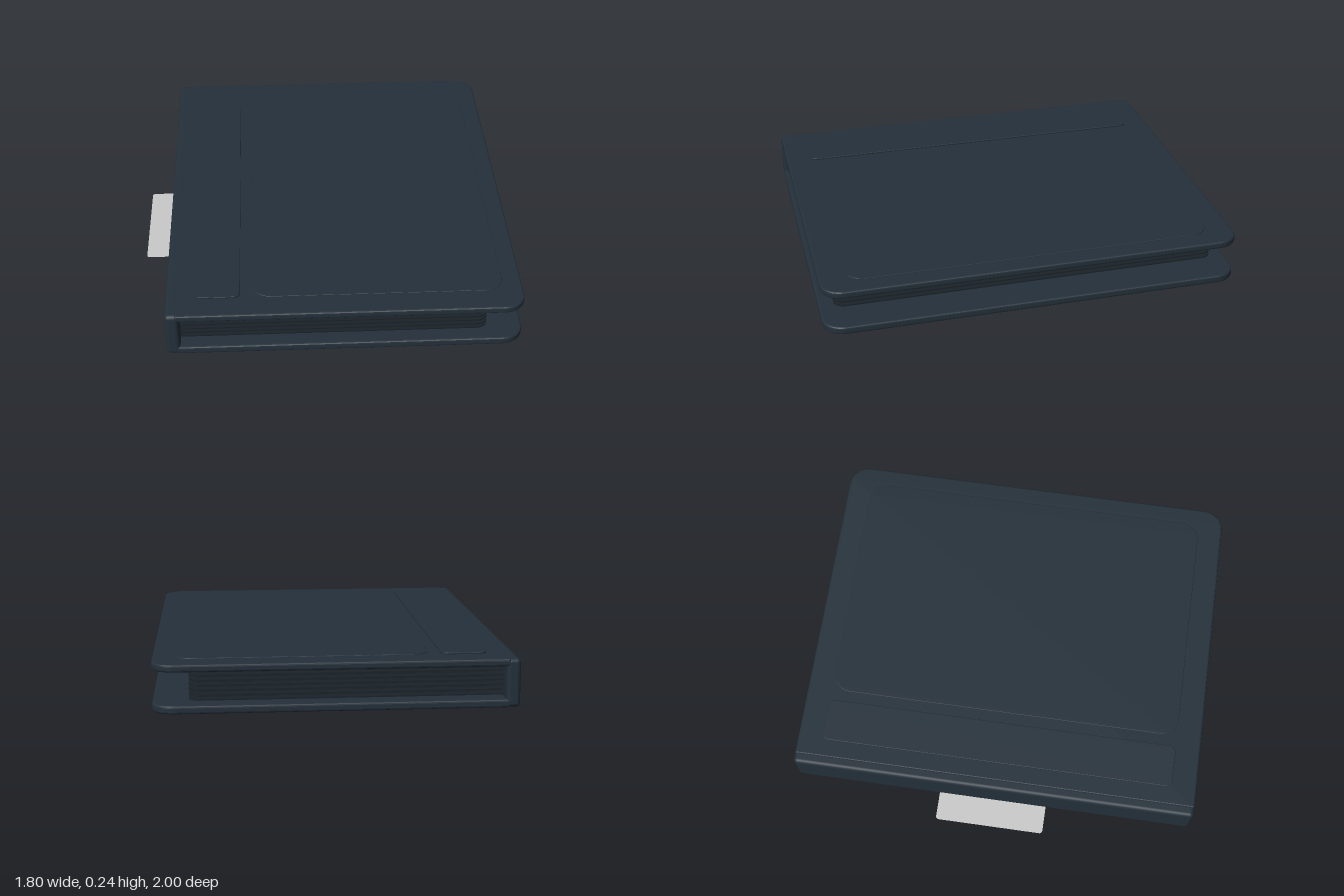
import * as THREE from 'three';
import { RoundedBoxGeometry } from 'three/addons/geometries/RoundedBoxGeometry.js';

const cover = new THREE.MeshStandardMaterial({ color: 0x24303a });
cover.name = 'slateCover';
const sheet = new THREE.MeshStandardMaterial({ color: 0x1a2228 });
sheet.name = 'darkSheet';
const clear = new THREE.MeshStandardMaterial({ color: 0xcacaca, side: THREE.DoubleSide });
clear.name = 'paleTab';

// Rectangle in x and z, with separate corner radii at the -x and +x ends
function outline(x0, x1, z, rl, rr) {
  const s = new THREE.Shape();
  s.moveTo(x0 + rl, -z);
  s.lineTo(x1 - rr, -z);
  s.absarc(x1 - rr, -z + rr, rr, -Math.PI / 2, 0, false);
  s.lineTo(x1, z - rr);
  s.absarc(x1 - rr, z - rr, rr, 0, Math.PI / 2, false);
  s.lineTo(x0 + rl, z);
  s.absarc(x0 + rl, z - rl, rl, Math.PI / 2, Math.PI, false);
  s.lineTo(x0, -z + rl);
  s.absarc(x0 + rl, -z + rl, rl, Math.PI, Math.PI * 1.5, false);
  return s;
}

// Flat slab lying between y0 and y1, with optional rounded rims
function slab(name, mat, x0, x1, z, rl, rr, y0, y1, bevel = 0) {
  const b = bevel;
  const shape = outline(x0 + b, x1 - b, z - b, Math.max(rl - b, 0.002), Math.max(rr - b, 0.002));
  const g = new THREE.ExtrudeGeometry(shape, {
    depth: y1 - y0 - 2 * b, bevelEnabled: b > 0, bevelSize: b, bevelThickness: b,
    bevelSegments: 3, curveSegments: 10,
  });
  g.rotateX(-Math.PI / 2);
  g.translate(0, y0 + b, 0);
  const m = new THREE.Mesh(g, mat);
  m.name = name;
  return m;
}

export function createModel() {
  const root = new THREE.Group();
  root.name = 'binder';

  // Covers and spine
  root.add(slab('bottomCover', cover, -0.72, 0.9, 1, 0.01, 0.1, 0.002, 0.04, 0.01));
  root.add(slab('topCover', cover, -0.72, 0.9, 1, 0.01, 0.1, 0.193, 0.228, 0.01));
  const spine = new THREE.Mesh(new RoundedBoxGeometry(0.065, 0.226, 2, 4, 0.02), cover);
  spine.name = 'spine';
  spine.position.set(-0.7325, 0.115, 0);
  root.add(spine);

  // Raised panels on the top cover
  root.add(slab('spinePanel', cover, -0.63, -0.42, 0.877, 0.03, 0.03, 0.226, 0.236, 0.003));
  root.add(slab('frontPanel', cover, -0.365, 0.81, 0.877, 0.09, 0.09, 0.224, 0.232, 0.003));

  // Pages with a three by three grid of thin pockets on both faces
  const pages = new THREE.Group();
  pages.name = 'pages';
  const count = 7;
  const pocket = new THREE.BoxGeometry(0.435, 0.003, 0.585);
  for (let i = 0; i < count; i++) {
    const y = 0.05 + i * 0.0225;
    pages.add(slab('page', sheet, -0.71, 0.735, 0.93, 0.005, 0.05, y - 0.003, y + 0.003));
    for (const side of [-1, 1]) {
      if ((i === 0 && side < 0) || (i === count - 1 && side > 0)) continue;
      for (let c = -1; c <= 1; c++) {
        for (let r = -1; r <= 1; r++) {
          const p = new THREE.Mesh(pocket, sheet);
          p.name = 'pocket';
          p.position.set(0.0375 + c * 0.445, y + side * 0.0075, r * 0.6);
          pages.add(p);
        }
      }
    }
  }
  root.add(pages);

  // Thin pale tab under the spine edge
  const tabShape = new THREE.ShapeGeometry(outline(-0.9, -0.52, 0.272, 0.015, 0.015), 5);
  tabShape.rotateX(-Math.PI / 2);
  const tab = new THREE.Mesh(tabShape, clear);
  tab.name = 'tab';
  root.add(tab);

  return root;
}
